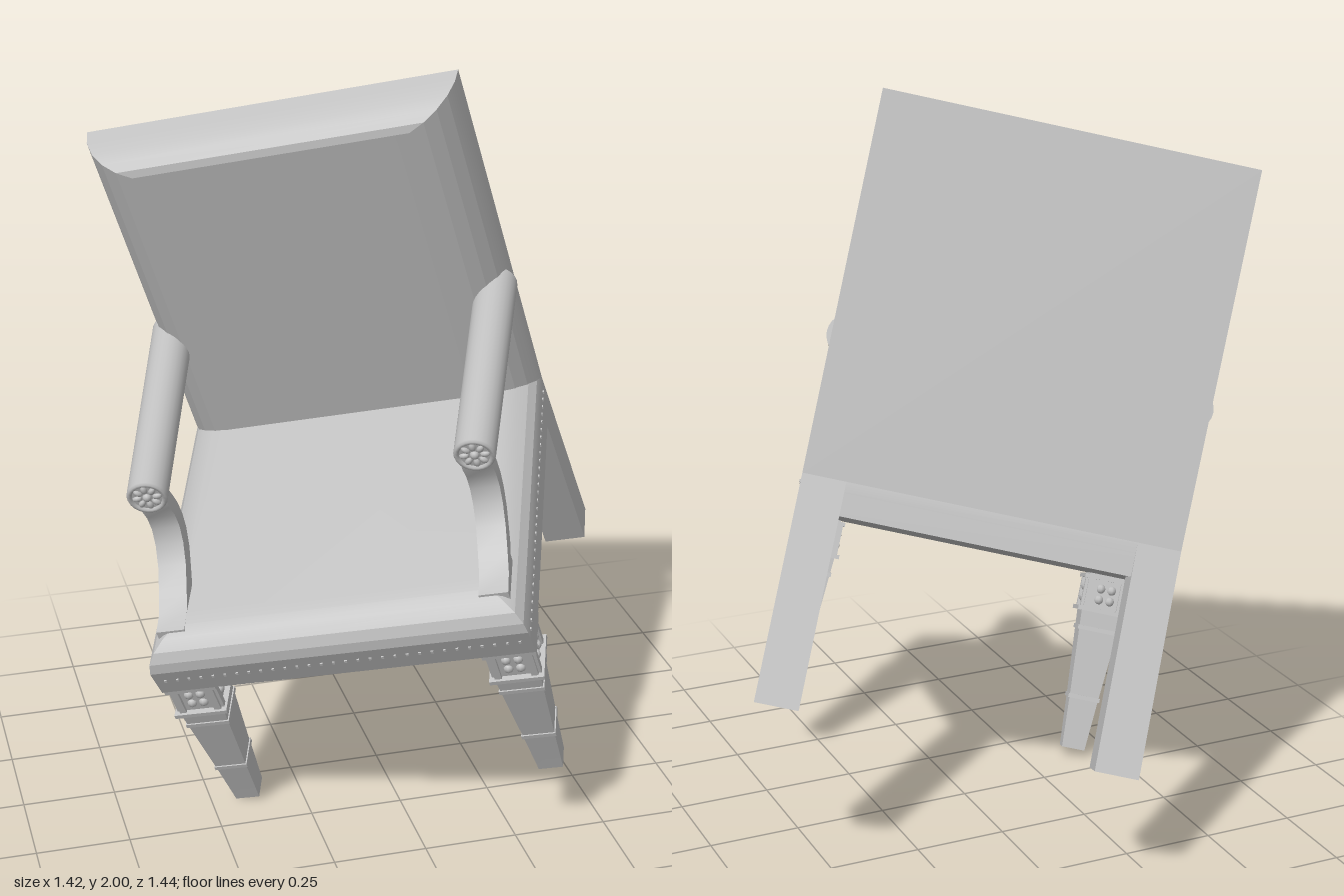
import * as THREE from 'three';
import { toCreasedNormals } from 'three/addons/utils/BufferGeometryUtils.js';

const grey = new THREE.MeshStandardMaterial({ color: 0xbfbfbf });
grey.name = 'plain grey';

function add(parent, name, geometry, x = 0, y = 0, z = 0) {
  const mesh = new THREE.Mesh(geometry, grey);
  mesh.name = name;
  mesh.position.set(x, y, z);
  parent.add(mesh);
  return mesh;
}

// Solid through a stack of four-cornered loops, capped at both ends
function loft(loops, crease = 0.3) {
  const pos = [];
  const tri = (...pts) => pts.forEach((p) => pos.push(...p));
  const quad = (a, b, c, d) => tri(a, b, c, a, c, d);
  for (let i = 0; i + 1 < loops.length; i++) {
    for (let j = 0; j < 4; j++) {
      const k = (j + 1) % 4;
      quad(loops[i][j], loops[i][k], loops[i + 1][k], loops[i + 1][j]);
    }
  }
  quad(...[...loops[0]].reverse());
  quad(...loops[loops.length - 1]);
  const g = new THREE.BufferGeometry();
  g.setAttribute('position', new THREE.Float32BufferAttribute(pos, 3));
  return toCreasedNormals(g, crease);
}

// Horizontal rectangle at height y
const flat = (y, x0, x1, z0, z1) => [[x0, y, z0], [x0, y, z1], [x1, y, z1], [x1, y, z0]];
const square = (y, h) => flat(y, -h, h, -h, h);

const W = 0.4975;    // half width
const D = 0.935;     // seat depth
const RAKE = 0.0645; // backward lean of back and rear legs

function buildSeat(chair) {
  const loops = [flat(-0.09, -W, W, 0, D - 0.01), flat(-0.03, -W, W, 0, D)];
  for (let i = 0; i <= 5; i++) {
    const t = (i / 5) * Math.PI / 2;
    const inset = 0.12 * (1 - Math.cos(t));
    loops.push(flat(0.09 * Math.sin(t), -W + inset, W - inset, 0.02 * i / 5, D + 0.005 - inset));
  }
  add(chair, 'seat', loft(loops));

  // Upholstery nails
  const nail = new THREE.BoxGeometry(0.007, 0.007, 0.007);
  for (let i = 0; i < 30; i++) {
    for (const s of [-1, 1]) add(chair, 'nail', nail, s * W, -0.02, 0.04 + i * 0.03);
    add(chair, 'nail', nail, -W + 0.03 + i * 0.0323, -0.035, D);
  }
}

function buildBack(chair) {
  const loops = [];
  for (let i = 0; i <= 5; i++) {
    const t = (i / 5) * Math.PI / 2;
    const c = 1 - Math.cos(t), z = 0.148 * Math.sin(t);
    const x = W - 0.13 * c, top = 1 - 0.06 * c, low = 0;
    loops.push([[-x, low], [x, low], [x, top], [-x, top]].map(([px, py]) => [px, py, z - RAKE * py]));
  }
  add(chair, 'backrest', loft(loops));
}

function buildRearLeg(chair, s) {
  const x0 = s > 0 ? W - 0.115 : -W, x1 = x0 + 0.115;
  add(chair, 'rearLeg', loft([
    flat(-0.592, x0, x1, -RAKE, 0.055 - 0.005),
    flat(0, x0, x1, 0, 0.115),
  ]));
}

function buildFrontLeg(chair, s) {
  const leg = new THREE.Group();
  leg.name = 'frontLeg';
  leg.position.set(s * 0.425, 0, 0.85);
  chair.add(leg);
  add(leg, 'taperedShaft', loft([square(-0.6, 0.033), square(-0.45, 0.042), square(-0.19, 0.06)]));
  add(leg, 'topBlock', loft([square(-0.19, 0.056), square(-0.08, 0.056)]));
  for (const [y, h] of [[-0.195, 0.072], [-0.1, 0.07], [-0.45, 0.046], [-0.25, 0.06]]) {
    add(leg, 'collar', new THREE.BoxGeometry(h * 2, 0.012, h * 2), 0, y, 0);
  }
  // Carved square ornament on the four sides of the block
  for (let i = 0; i < 4; i++) {
    const side = new THREE.Group();
    side.name = 'blockOrnament';
    side.rotation.y = i * Math.PI / 2;
    leg.add(side);
    for (const x of [-0.048, 0.048]) add(side, 'frame', new THREE.BoxGeometry(0.018, 0.085, 0.014), x, -0.147, 0.058);
    for (const x of [-0.016, 0.016]) {
      for (const y of [-0.163, -0.131]) {
        add(side, 'petal', new THREE.SphereGeometry(0.014, 8, 6), x, y, 0.053);
      }
    }
  }
}

function buildArm(chair, s) {
  // Round armrest, running from the back to a carved front end
  const rear = new THREE.Vector3(s * 0.455, 0.37, 0.02);
  const front = new THREE.Vector3(s * 0.43, 0.36, 0.66);
  const dir = front.clone().sub(rear);
  const arm = new THREE.Group();
  arm.name = 'arm';
  arm.position.copy(rear);
  arm.quaternion.setFromUnitVectors(new THREE.Vector3(0, 0, 1), dir.clone().normalize());
  chair.add(arm);
  const length = dir.length();
  const bar = new THREE.CylinderGeometry(0.053, 0.056, length, 24);
  bar.rotateX(Math.PI / 2);
  add(arm, 'armrest', bar, 0, 0, length / 2);

  // Rosette
  add(arm, 'rosetteRim', new THREE.TorusGeometry(0.046, 0.007, 6, 24), 0, 0, length);
  add(arm, 'rosetteCentre', new THREE.SphereGeometry(0.012, 10, 8), 0, 0, length);
  for (let i = 0; i < 8; i++) {
    const a = i * Math.PI / 4;
    const petal = add(arm, 'rosettePetal', new THREE.SphereGeometry(0.012, 8, 6),
      0.027 * Math.cos(a), 0.027 * Math.sin(a), length);
    petal.scale.set(1.1, 0.7, 0.7);
    petal.rotation.z = a;
  }

  // Curved post: height, rear edge, front edge
  const x = s * 0.425;
  const stations = [
    [0.02, 0.75, 0.88], [0.085, 0.745, 0.875], [0.09, 0.72, 0.815], [0.115, 0.685, 0.765],
    [0.15, 0.64, 0.705], [0.19, 0.61, 0.665], [0.23, 0.597, 0.645], [0.27, 0.597, 0.643],
    [0.31, 0.607, 0.655], [0.35, 0.62, 0.655],
  ];
  add(chair, 'armPost', loft(stations.map(([y, z0, z1]) => flat(y, x - 0.038, x + 0.038, z0, z1)), 0.6));
}

export function createModel() {
  const model = new THREE.Group();
  model.name = 'armchair';
  const chair = new THREE.Group();
  chair.name = 'tiltedChair';
  model.add(chair);

  buildSeat(chair);
  buildBack(chair);
  for (const s of [-1, 1]) {
    buildRearLeg(chair, s);
    buildFrontLeg(chair, s);
    buildArm(chair, s);
  }

  // The whole chair is tipped and turned
  const ux = new THREE.Vector3(0.885, 0.211, 0.417).normalize();
  const uz = new THREE.Vector3(-0.329, -0.356, 0.874);
  const uy = uz.clone().cross(ux).normalize();
  uz.crossVectors(ux, uy);
  chair.quaternion.setFromRotationMatrix(new THREE.Matrix4().makeBasis(ux, uy, uz));
  chair.position.set(0.0625, 0.96, -0.3125);
  return model;
}
